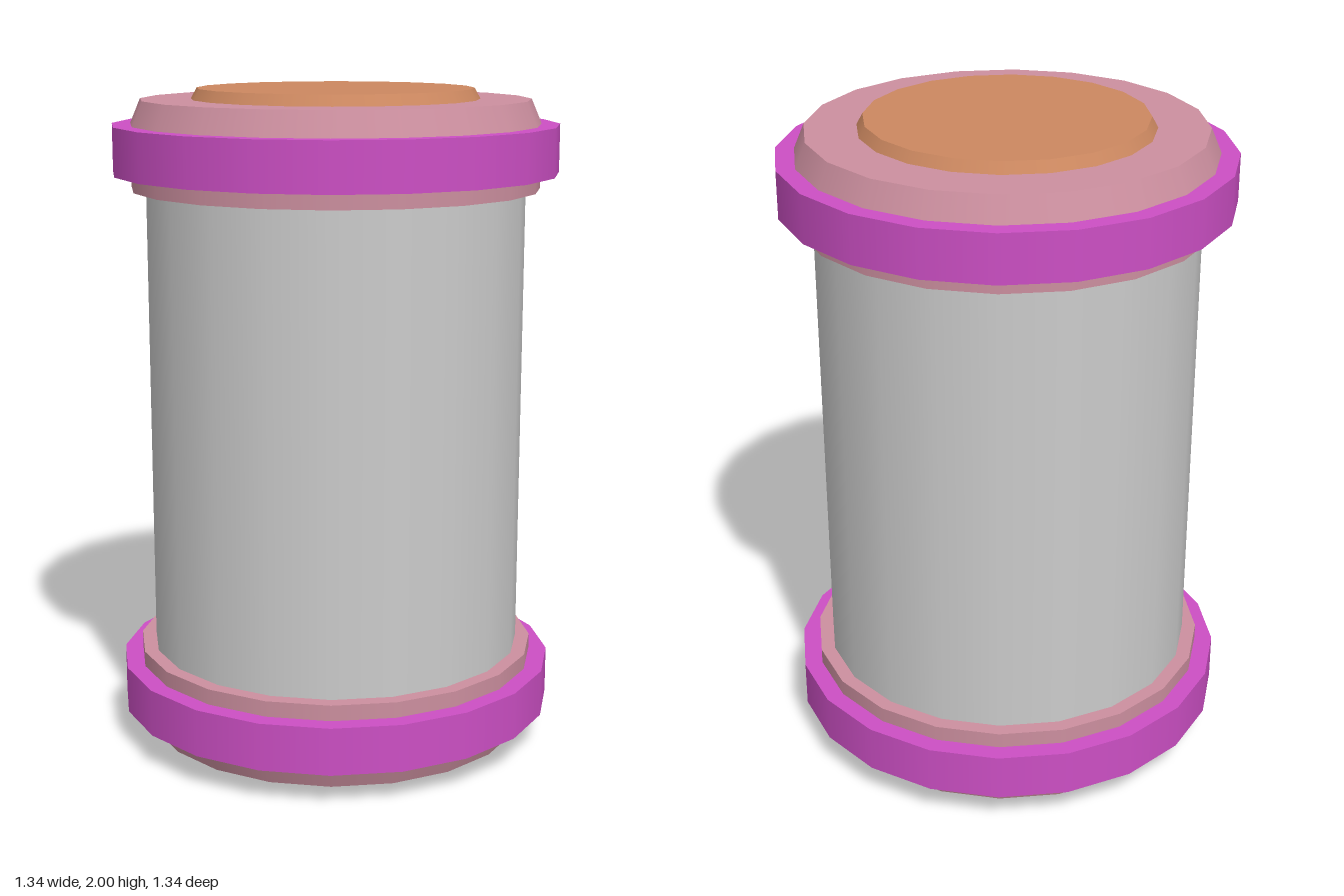
import * as THREE from 'three';

const SIDES = 20;

const paint = (color) => new THREE.MeshStandardMaterial({ color });
const grey = paint(0xcccccc);
const pink = paint(0xcc8f9f);
const purple = paint(0xcc4fc4);
const orange = paint(0xcc8860);

// A faceted drum between two heights, optionally tapered
function drum(name, material, rBottom, rTop, y0, y1) {
  const geometry = new THREE.CylinderGeometry(rTop, rBottom, y1 - y0, SIDES);
  const mesh = new THREE.Mesh(geometry, material);
  mesh.name = name;
  mesh.position.y = (y0 + y1) / 2;
  return mesh;
}

// End cap, with heights measured from the middle of the model
function endCap(name) {
  const cap = new THREE.Group();
  cap.name = name;
  cap.add(
    drum('capRim', pink, 0.613, 0.613, 0.705, 0.895),
    drum('capBevel', pink, 0.613, 0.582, 0.895, 0.968),
    drum('capBand', purple, 0.668, 0.668, 0.752, 0.895),
    drum('capDisc', orange, 0.43, 0.412, 0.968, 1)
  );
  return cap;
}

export function createModel() {
  const model = new THREE.Group();
  model.name = 'canister';

  // Main barrel
  model.add(drum('barrel', grey, 0.57, 0.57, 0.29, 1.71));

  // Matching caps, the lower one turned over
  const topCap = endCap('topCap');
  const bottomCap = endCap('bottomCap');
  bottomCap.rotation.x = Math.PI;
  for (const cap of [topCap, bottomCap]) {
    cap.position.y = 1;
    model.add(cap);
  }
  return model;
}
